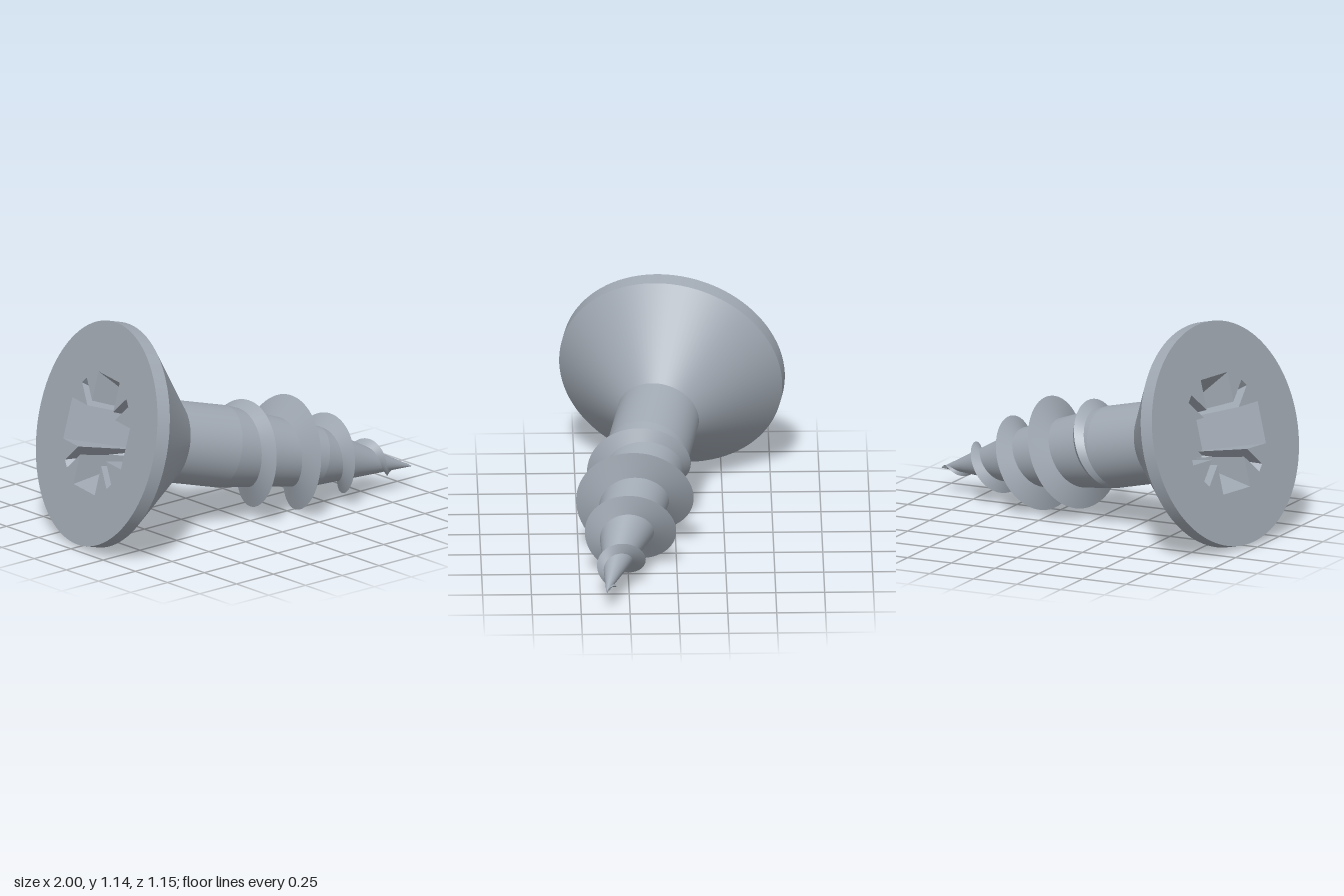
import * as THREE from 'three';

const steel = new THREE.MeshStandardMaterial({ color: 0xa0a8b2 });
steel.name = 'steel';

const HEAD_R = 0.58, TIP = 1.912, PITCH = 0.262;
// core radius and thread crest radius by distance along the axis
const CORE = [[0.435, 0.212], [0.75, 0.212], [1.317, 0.155], [TIP, 0]];
const CREST = [[0.71, 0.2], [0.793, 0.235], [0.861, 0.254], [0.924, 0.28], [1.0, 0.295],
  [1.11, 0.3], [1.255, 0.281], [1.386, 0.222], [1.51, 0.172], [1.646, 0.112], [1.775, 0.059], [TIP, 0]];

function sample(table, s) {
  for (let i = 1; i < table.length; i++) {
    const [s0, r0] = table[i - 1], [s1, r1] = table[i];
    if (s <= s1) return r0 + (r1 - r0) * Math.max(0, (s - s0) / (s1 - s0));
  }
  return table[table.length - 1][1];
}

// surface through a row of point pairs
function strip(rows) {
  const pos = [], index = [];
  rows.forEach(([p, q], i) => {
    pos.push(...p, ...q);
    if (i) {
      const k = 2 * i - 2;
      index.push(k, k + 1, k + 2, k + 1, k + 3, k + 2);
    }
  });
  const g = new THREE.BufferGeometry();
  g.setAttribute('position', new THREE.Float32BufferAttribute(pos, 3));
  g.setIndex(index);
  g.computeVertexNormals();
  return g;
}

// four-armed driver outline with a thin diagonal slot between the arms
function recessOutline(arm, halfWidth, slotHalf, slotReach) {
  const k = slotHalf * Math.SQRT2, e = slotReach / Math.SQRT2, h = slotHalf / Math.SQRT2;
  const quarter = [[arm, -halfWidth], [arm, halfWidth], [halfWidth + k, halfWidth],
    [e + h, e - h], [e - h, e + h], [halfWidth, halfWidth + k]];
  const pts = [];
  for (let i = 0; i < 4; i++) {
    for (const [x, y] of quarter) {
      pts.push(new THREE.Vector2(x, y).rotateAround(new THREE.Vector2(), i * Math.PI / 2));
    }
  }
  return pts;
}

export function createModel() {
  const model = new THREE.Group();
  model.name = 'screw';
  const screw = new THREE.Group();
  screw.name = 'tiltedScrew';
  model.add(screw);
  const add = (name, geometry) => {
    const mesh = new THREE.Mesh(geometry, steel);
    mesh.name = name;
    screw.add(mesh);
  };

  // turned body, one piece per straight section so the edges stay sharp
  const turned = (name, a, b) => add(name, new THREE.LatheGeometry(
    [new THREE.Vector2(a[1], a[0]), new THREE.Vector2(b[1], b[0])], 96));
  turned('headRim', [0, HEAD_R], [0.075, HEAD_R]);
  turned('headCone', [0.075, HEAD_R], CORE[0]);
  ['shank', 'threadedCore', 'tip'].forEach((name, i) => turned(name, CORE[i], CORE[i + 1]));

  // flat head face with the driver recess cut out
  const outer = recessOutline(0.3, 0.11, 0.024, 0.315);
  const inner = recessOutline(0.15, 0.09, 0.018, 0.18);
  const depth = 0.3;
  const face = new THREE.Shape().absarc(0, 0, HEAD_R, 0, Math.PI * 2, false);
  face.holes.push(new THREE.Path(outer.slice().reverse()));
  add('headFace', new THREE.ShapeGeometry(face, 96).rotateX(Math.PI / 2));
  add('recessFloor', new THREE.ShapeGeometry(new THREE.Shape(inner))
    .rotateX(Math.PI / 2).translate(0, depth, 0));
  const wall = [];
  for (let i = 0; i <= outer.length; i++) {
    const o = outer[i % outer.length], n = inner[i % inner.length];
    wall.push([[n.x, depth, n.y], [o.x, 0, o.y]]);
  }
  const wallGeometry = strip(wall).toNonIndexed();
  wallGeometry.computeVertexNormals();
  add('recessWalls', wallGeometry);

  // helical thread: two flanks meeting at a sharp crest
  const headSide = [], tipSide = [];
  const start = 0.71, end = 1.9, steps = 440;
  for (let i = 0; i <= steps; i++) {
    const s = start + (end - start) * i / steps;
    const a = Math.PI / 2 - 2 * Math.PI * (s - 0.861) / PITCH;
    const at = (r, y) => [r * Math.cos(a), y, r * Math.sin(a)];
    const half = s < 1.25 ? 0.045 : 0.045 - 0.035 * (s - 1.25) / (TIP - 1.25);
    const root = y => at(sample(CORE, y) * 0.97, Math.min(y, TIP));
    const crest = at(sample(CREST, s), s);
    headSide.push([crest, root(s - half)]);
    tipSide.push([root(s + half), crest]);
  }
  add('threadHeadSideFlank', strip(headSide));
  add('threadTipSideFlank', strip(tipSide));

  // lay the screw down with its axis running from the head to the tip
  const axis = new THREE.Vector3(0.949, -0.245, 0.197).normalize();
  const side = new THREE.Vector3(-axis.z, 0, axis.x).normalize();
  const up = new THREE.Vector3().crossVectors(side, axis);
  screw.quaternion.setFromRotationMatrix(new THREE.Matrix4().makeBasis(side, axis, up));
  screw.position.set(-0.82, 0.582, -0.006);
  return model;
}
